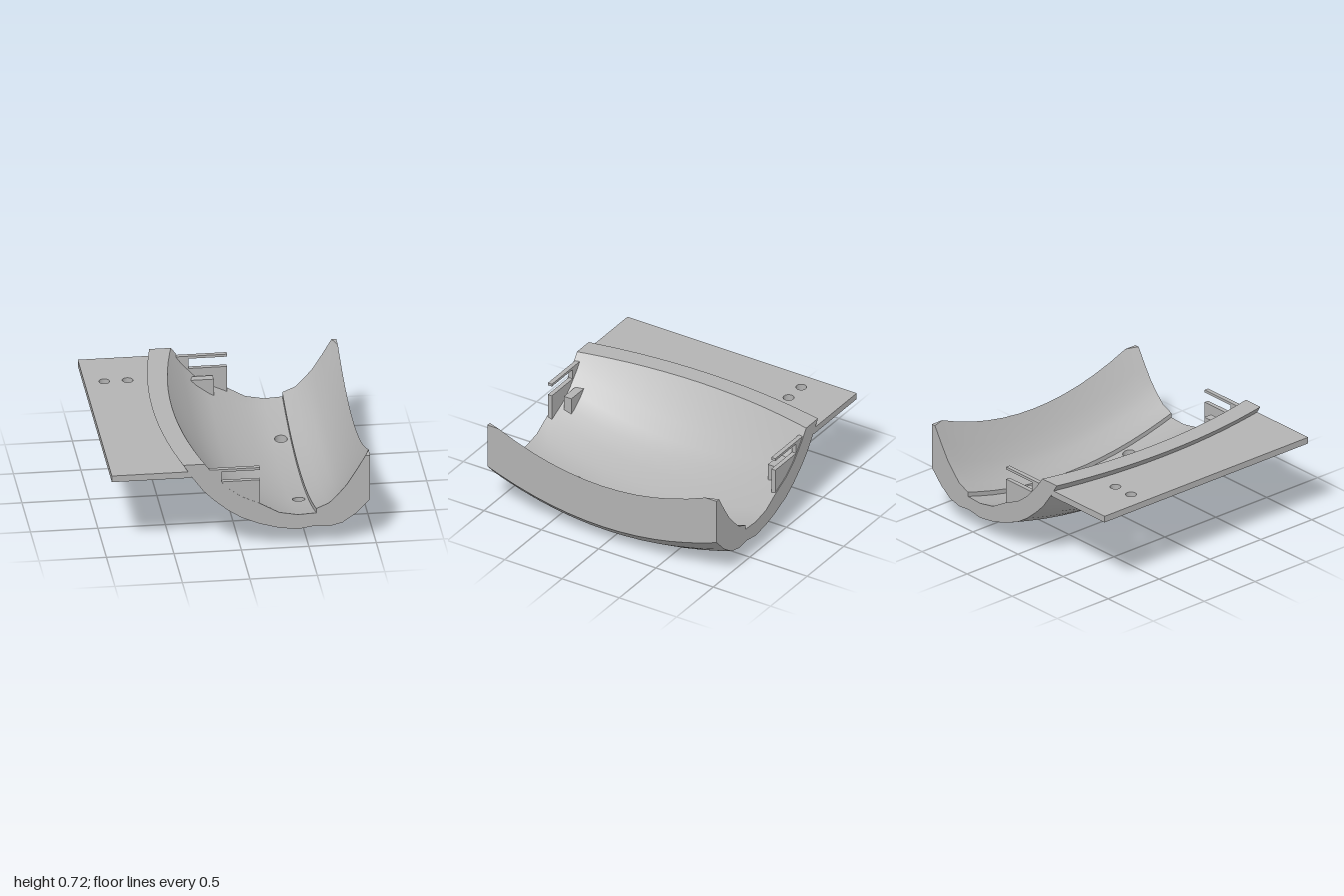
import * as THREE from 'three';
import { toCreasedNormals } from 'three/addons/utils/BufferGeometryUtils.js';

// Each row: x, y at the two ends, then x, y at mid length
const OUTER = [
  [-0.43, 0.72, -0.535, 0.72], [-0.36, 0.61, -0.44, 0.585], [-0.28, 0.5, -0.33, 0.425],
  [-0.2, 0.42, -0.22, 0.27], [-0.1, 0.335, -0.1, 0.2], [0, 0.27, 0, 0.14],
  [0.14, 0.21, 0.1, 0.09], [0.28, 0.17, 0.26, 0.045], [0.42, 0.15, 0.42, 0.005],
  [0.54, 0.17, 0.54, 0.02], [0.65, 0.16, 0.65, 0.01], [0.75, 0.185, 0.78, 0.04],
  [0.85, 0.255, 0.88, 0.1], [0.955, 0.365, 0.955, 0.175],
];
const INNER = [
  [0.85, 0.6, 0.88, 0.38], [0.78, 0.49, 0.8, 0.275], [0.72, 0.42, 0.74, 0.215],
  [0.65, 0.35, 0.65, 0.175], [0.556, 0.31, 0.556, 0.155], [0.556, 0.275, 0.556, 0.12],
  [0.42, 0.268, 0.42, 0.12], [0.28, 0.295, 0.28, 0.155], [0.14, 0.375, 0.14, 0.21],
  [0, 0.44, 0, 0.275], [-0.1, 0.515, -0.1, 0.35], [-0.2, 0.625, -0.2, 0.445],
  [-0.27, 0.72, -0.39, 0.72],
];
const HALF = [0.15, 0.3, 0.45, 0.59, 0.75, 0.9, 1];
const SLICES = [...HALF.map((z) => -z).reverse(), 0, ...HALF];
const OUTER_HOLE = 8; // profile segments pierced by the drain holes
const INNER_HOLE = OUTER.length + 2 + 5;

// Closed cross-section at z, counter-clockwise
function section(z) {
  const w = 1 - z * z;
  const mix = ([ex, ey, mx, my]) => new THREE.Vector3(ex + (mx - ex) * w, ey + (my - ey) * w, z);
  const lipX = 0.92 + 0.035 * Math.min(1, w / 0.19);
  const lipY = 0.72 - 0.195 * Math.max(0, (w - 0.19) / 0.81);
  return [...OUTER.map(mix), new THREE.Vector3(0.955, lipY, z), new THREE.Vector3(lipX, lipY, z), ...INNER.map(mix)];
}

function shellGeometry() {
  const pos = [];
  const tri = (...pts) => pts.forEach((p) => pos.push(p.x, p.y, p.z));
  const quad = (a, b, c, d) => { tri(a, b, c); tri(a, c, d); };
  const N = 24, R = 0.047, HX = 0.485;

  // Fills one cell around a round hole and returns the rim points
  function piercedCell(a, b, c, d) {
    const at = (u, v) => a.clone().lerp(b, u).lerp(d.clone().lerp(c, u), v);
    const dx = b.x - a.x, dz = d.z - a.z;
    const rim = [], edge = [];
    for (let j = 0; j < N; j++) {
      const t = (j / N) * Math.PI * 2, cs = Math.cos(t), sn = Math.sin(t);
      const m = Math.max(Math.abs(cs), Math.abs(sn));
      edge.push(at(0.5 + cs / m / 2, 0.5 + sn / m / 2));
      rim.push(at((HX + Math.sign(dx) * R * cs - a.x) / dx, 0.5 + (R * sn) / dz));
    }
    for (let j = 0; j < N; j++) {
      const k = (j + 1) % N;
      quad(rim[j], edge[j], edge[k], rim[k]);
    }
    return rim;
  }

  const rows = SLICES.map(section);
  const n = rows[0].length;
  for (let s = 0; s < rows.length - 1; s++) {
    const hasHole = Math.abs(Math.abs(SLICES[s] + SLICES[s + 1]) / 2 - 0.52) < 0.01;
    const rims = [];
    for (let i = 0; i < n; i++) {
      const k = (i + 1) % n;
      const cell = [rows[s][i], rows[s][k], rows[s + 1][k], rows[s + 1][i]];
      if (hasHole && (i === OUTER_HOLE || i === INNER_HOLE)) rims.push(piercedCell(...cell));
      else quad(...cell);
    }
    // Hole walls
    if (hasHole) {
      const [lo, hi] = rims;
      const flip = (j) => hi[(N / 2 - j + N) % N];
      for (let j = 0; j < N; j++) quad(lo[j], lo[(j + 1) % N], flip((j + 1) % N), flip(j));
    }
  }
  // End caps
  const first = rows[0], last = rows[rows.length - 1];
  const flat = last.map((p) => new THREE.Vector2(p.x, p.y));
  for (const [a, b, c] of THREE.ShapeUtils.triangulateShape(flat, [])) {
    tri(last[a], last[b], last[c]);
    tri(first[a], first[c], first[b]);
  }
  const geo = new THREE.BufferGeometry();
  geo.setAttribute('position', new THREE.Float32BufferAttribute(pos, 3));
  return toCreasedNormals(geo, 0.5);
}

const polygon = (pts) => new THREE.Shape(pts.map(([x, y]) => new THREE.Vector2(x, y)));

export function createModel() {
  const model = new THREE.Group();
  model.name = 'curvedTrough';
  const grey = new THREE.MeshStandardMaterial({ color: 0xb3b3b3 });
  grey.name = 'plain grey';
  const add = (name, geo, parent = model) => {
    const mesh = new THREE.Mesh(geo, grey);
    mesh.name = name;
    parent.add(mesh);
    return mesh;
  };

  add('shell', shellGeometry());

  // Flat mounting flange with two screw holes
  const plate = polygon([[-0.96, -1], [-0.37, -1], [-0.37, 1], [-0.96, 1]]);
  for (const x of [-0.813, -0.64]) {
    plate.holes.push(new THREE.Path().absarc(x, 0.61, 0.04, 0, Math.PI * 2, true));
  }
  const flange = new THREE.ExtrudeGeometry(plate, { depth: 0.05, bevelEnabled: false, curveSegments: 24 });
  flange.rotateX(-Math.PI / 2).translate(0, 0.615, 0);
  add('mountingFlange', flange);

  // Slotted bracket and inner stop block at each end
  const bracket = polygon([
    [-0.26, 0.665], [-0.26, 0.58], [-0.1, 0.44], [0.02, 0.37], [0.14, 0.34], [0.14, 0.565],
    [-0.145, 0.565], [-0.145, 0.645], [0.14, 0.645], [0.14, 0.665],
  ]);
  for (const side of [1, -1]) {
    const clip = new THREE.Group();
    clip.name = side > 0 ? 'frontClip' : 'backClip';
    model.add(clip);
    const geo = new THREE.ExtrudeGeometry(bracket, { depth: 0.035, bevelEnabled: false });
    add('slottedBracket', geo, clip).position.z = side > 0 ? 0.957 : -0.992;
    add('stopBlock', new THREE.BoxGeometry(0.17, 0.155, 0.065), clip).position.set(-0.055, 0.4375, side * 0.89);
  }
  return model;
}
